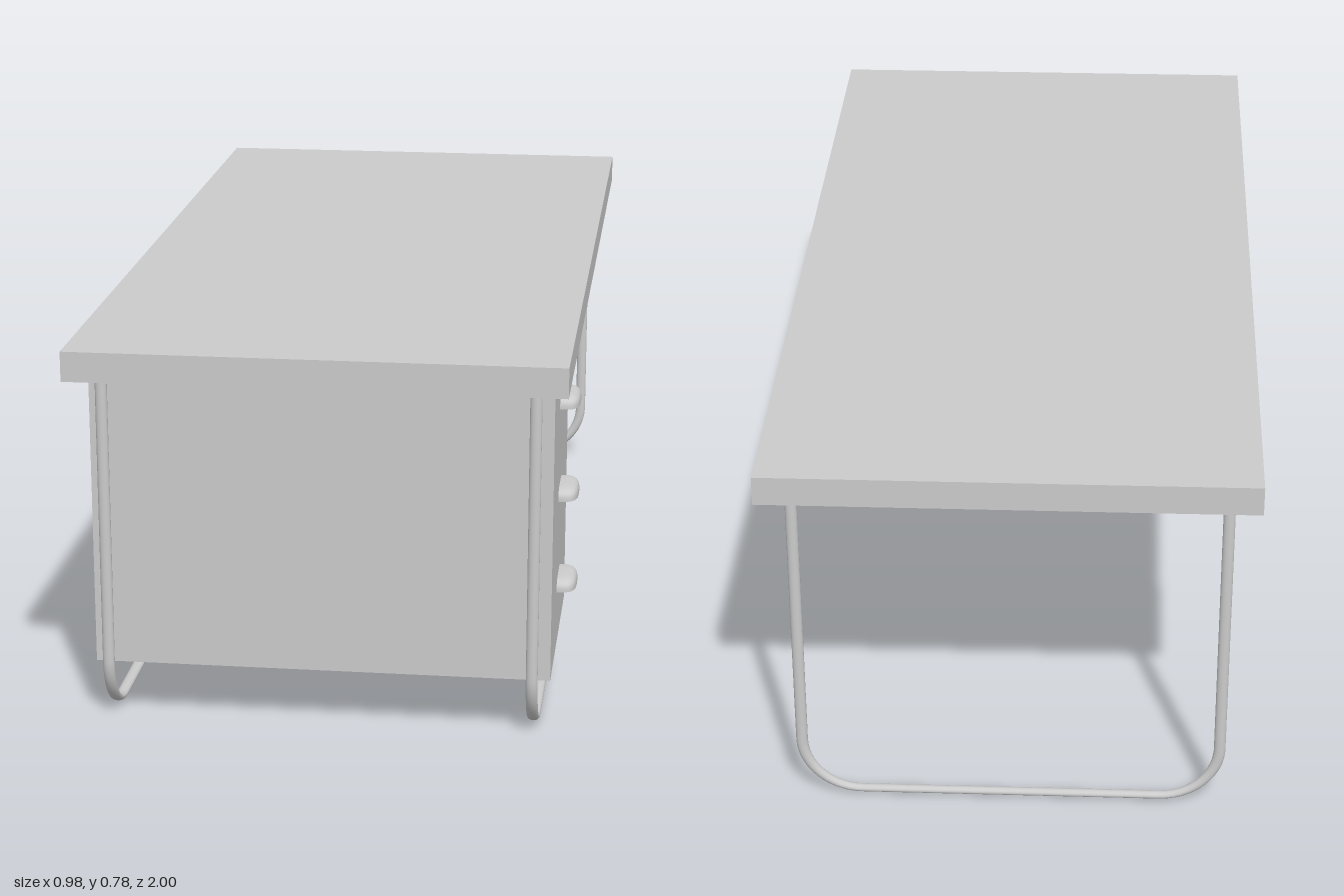
import * as THREE from 'three';
import { ParametricGeometry } from 'three/addons/geometries/ParametricGeometry.js';

const material = new THREE.MeshStandardMaterial({ color: 0xcccccc });
const shellMaterial = new THREE.MeshStandardMaterial({ color: 0xcccccc, side: THREE.DoubleSide });

function addMesh(parent, name, geometry, mat = material) {
  const mesh = new THREE.Mesh(geometry, mat);
  mesh.name = name;
  parent.add(mesh);
  return mesh;
}

// Box given by its lowest and highest corners
function addBox(parent, name, min, max) {
  const size = max.map((v, i) => v - min[i]);
  const mesh = addMesh(parent, name, new THREE.BoxGeometry(...size));
  mesh.position.set(...max.map((v, i) => (v + min[i]) / 2));
}

// U-shaped bent tube: a and b are the two uprights, place() maps (along, y) to space.
// The tube section is slightly wider in x than it is tall.
function bentTube(a, b, top, bottom, bend, place) {
  const stretch = new THREE.Vector3(1.25, 0.8, 1);
  const p = (s, y) => place(s, y).divide(stretch);
  const k = bend * 0.45;
  const path = new THREE.CurvePath();
  path.add(new THREE.LineCurve3(p(a, top), p(a, bottom + bend)));
  path.add(new THREE.CubicBezierCurve3(
    p(a, bottom + bend), p(a, bottom + k), p(a + k, bottom), p(a + bend, bottom)));
  path.add(new THREE.LineCurve3(p(a + bend, bottom), p(b - bend, bottom)));
  path.add(new THREE.CubicBezierCurve3(
    p(b - bend, bottom), p(b - k, bottom), p(b, bottom + k), p(b, bottom + bend)));
  path.add(new THREE.LineCurve3(p(b, bottom + bend), p(b, top)));
  const geometry = new THREE.TubeGeometry(path, 160, 0.0095, 14, false);
  return geometry.scale(stretch.x, stretch.y, stretch.z);
}

// Hollow cup pull, open underneath and towards the drawer
function cupPull(depth, height, halfWidth) {
  const soft = (v) => Math.sign(v) * Math.pow(Math.abs(v), 0.6);
  return new ParametricGeometry((u, v, target) => {
    const around = u * Math.PI;
    const up = v * Math.PI / 2;
    const ring = soft(Math.max(0, Math.cos(up)));
    target.set(
      depth * ring * soft(Math.max(0, Math.sin(around))),
      height * soft(Math.sin(up)),
      halfWidth * ring * soft(Math.cos(around)));
  }, 28, 12);
}

export function createModel() {
  const desk = new THREE.Group();
  desk.name = 'desk';

  addBox(desk, 'tabletop', [-0.492, 0.725, -1], [0.482, 0.785, 1]);
  addBox(desk, 'drawerCabinet', [-0.455, 0.125, 0.449], [0.453, 0.725, 0.926]);

  // Two tube runners hugging the cabinet
  for (const [name, x] of [['cabinetLegRight', -0.43], ['cabinetLegLeft', 0.417]]) {
    addMesh(desk, name, bentTube(0.4535, 0.9285, 0.73, 0.0085, 0.12,
      (z, y) => new THREE.Vector3(x, y, z)));
  }

  // One wide tube frame at the open end
  addMesh(desk, 'backLegFrame', bentTube(-0.43, 0.417, 0.73, 0.0125, 0.12,
    (x, y) => new THREE.Vector3(x, y, -0.94)));

  // Drawer pulls
  const pull = cupPull(0.038, 0.025, 0.062);
  [0.246, 0.438, 0.63].forEach((y, i) => {
    addMesh(desk, `drawerPull${i + 1}`, pull, shellMaterial).position.set(0.453, y, 0.69);
  });

  return desk;
}
